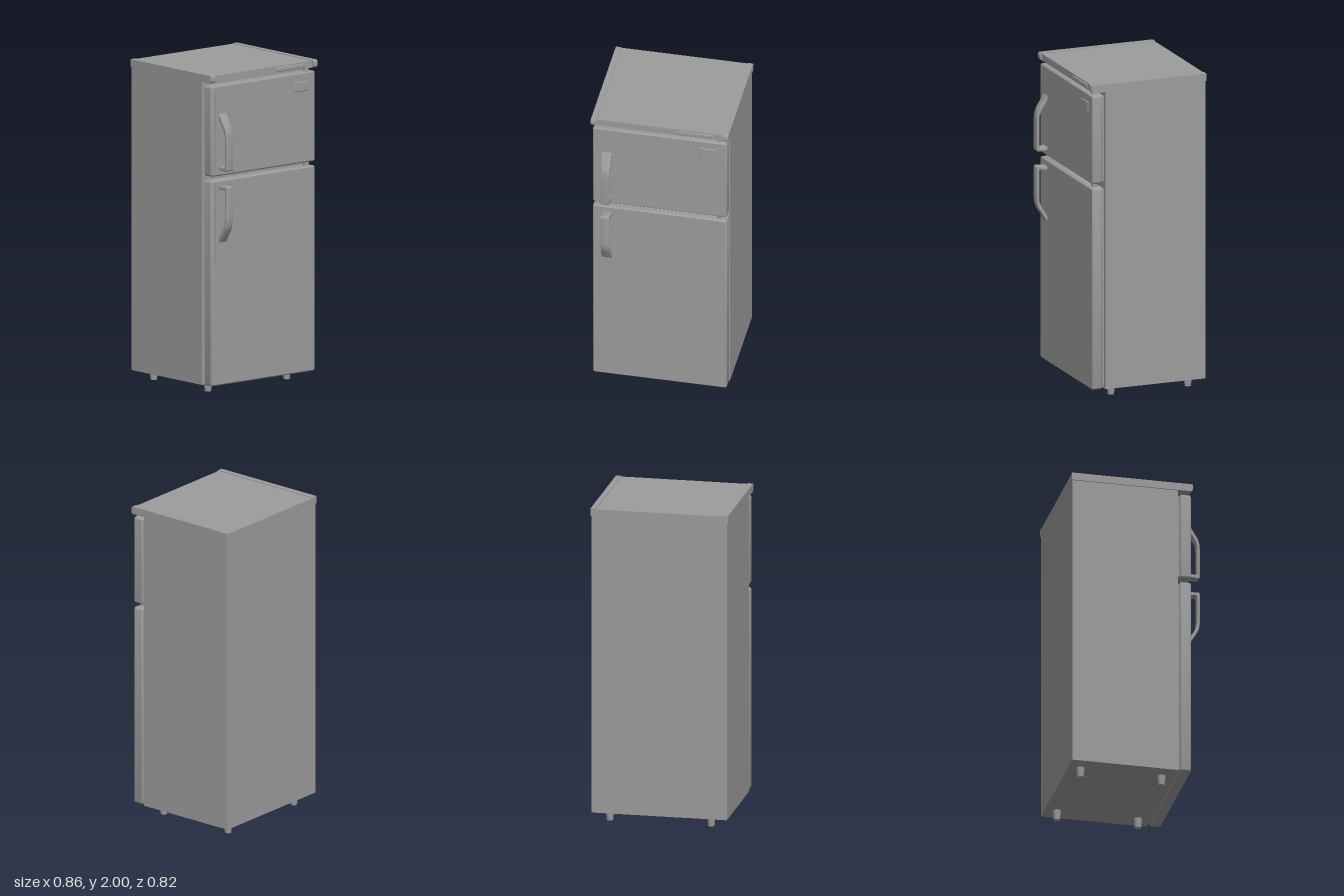
import * as THREE from 'three';
import { toCreasedNormals } from 'three/addons/utils/BufferGeometryUtils.js';

const grey = new THREE.MeshStandardMaterial({ color: 0x9c9c9c });

export function createModel() {
  const model = new THREE.Group();
  model.name = 'refrigerator';

  const add = (name, geometry, x = 0, y = 0, z = 0) => {
    const mesh = new THREE.Mesh(geometry, grey);
    mesh.name = name;
    mesh.position.set(x, y, z);
    model.add(mesh);
  };

  // Box given by its lower and upper limits on each axis
  const box = (name, [x0, x1], [y0, y1], [z0, z1]) =>
    add(name, new THREE.BoxGeometry(x1 - x0, y1 - y0, z1 - z0),
      (x0 + x1) / 2, (y0 + y1) / 2, (z0 + z1) / 2);

  // Side profile drawn in (z, y), extruded to a width centred on x
  const sideProfile = (shape, width, bevel) => {
    const g = new THREE.ExtrudeGeometry(shape, {
      depth: width - 2 * bevel, curveSegments: 8, bevelEnabled: bevel > 0,
      bevelThickness: bevel, bevelSize: bevel, bevelOffset: -bevel, bevelSegments: 2,
    });
    g.translate(0, 0, bevel - width / 2);
    g.rotateY(-Math.PI / 2);
    return g;
  };

  const roundedRect = (w, h, r) => {
    const s = new THREE.Shape();
    s.absarc(w / 2 - r, h / 2 - r, r, 0, Math.PI / 2);
    s.absarc(-w / 2 + r, h / 2 - r, r, Math.PI / 2, Math.PI);
    s.absarc(-w / 2 + r, -h / 2 + r, r, Math.PI, Math.PI * 1.5);
    s.absarc(w / 2 - r, -h / 2 + r, r, Math.PI * 1.5, Math.PI * 2);
    return s;
  };

  // Upright slab with rounded corners and a crisp chamfer
  const slab = (name, [x0, x1], [y0, y1], [z0, z1], radius, bevel) => {
    const g = new THREE.ExtrudeGeometry(roundedRect(x1 - x0, y1 - y0, radius), {
      depth: z1 - z0 - 2 * bevel, curveSegments: 5, bevelThickness: bevel,
      bevelSize: bevel, bevelOffset: -bevel, bevelSegments: 1,
    });
    add(name, toCreasedNormals(g, 0.5), (x0 + x1) / 2, (y0 + y1) / 2, z0 + bevel);
  };

  // Cabinet and top
  box('cabinet', [-0.423, 0.423], [0.062, 1.955], [-0.407, 0.257]);
  box('topPanel', [-0.396, 0.396], [1.953, 1.996], [-0.41, 0.34]);
  slab('controlStrip', [0.105, 0.34], [1.96, 1.987], [0.33, 0.347], 0.005, 0.004);

  // Side trims of the top, with a rounded front end
  const trim = new THREE.Shape();
  trim.moveTo(-0.41, 1.952);
  trim.lineTo(0.332, 1.952);
  trim.quadraticCurveTo(0.35, 1.952, 0.35, 1.97);
  trim.lineTo(0.35, 1.99);
  trim.quadraticCurveTo(0.35, 2, 0.34, 2);
  trim.lineTo(-0.41, 2);
  for (const side of [-1, 1])
    add(side < 0 ? 'rightTopTrim' : 'leftTopTrim',
      toCreasedNormals(sideProfile(trim, 0.035, 0), 0.6), side * 0.4125);

  // Chamfered doors, each with a gasket behind
  const doors = [['freezerDoor', 1.368, 1.932], ['fridgeDoor', 0.062, 1.342]];
  for (const [name, y0, y1] of doors) {
    slab(name, [-0.42, 0.42], [y0, y1], [0.272, 0.342], 0.016, 0.008);
    box(name + 'Gasket', [-0.405, 0.405], [y0 + 0.012, y1 - 0.012], [0.25, 0.278]);
  }

  // Handles and their thin backing plates: the lower ones are flipped about the gap
  const gap = 1.355;
  for (const [name, flip] of [['freezerHandle', 1], ['fridgeHandle', -1]]) {
    const Y = (y) => gap + flip * (y - gap);
    const s = new THREE.Shape();
    s.moveTo(0.335, Y(1.77));
    s.lineTo(0.394, Y(1.675));
    s.quadraticCurveTo(0.411, Y(1.645), 0.411, Y(1.6));
    s.lineTo(0.411, Y(1.415));
    s.quadraticCurveTo(0.411, Y(1.402), 0.398, Y(1.402));
    s.lineTo(0.335, Y(1.407));
    s.lineTo(0.335, Y(1.43));
    s.lineTo(0.386, Y(1.424));
    s.quadraticCurveTo(0.394, Y(1.424), 0.394, Y(1.434));
    s.lineTo(0.394, Y(1.6));
    s.quadraticCurveTo(0.394, Y(1.635), 0.381, Y(1.658));
    s.lineTo(0.335, Y(1.732));
    const g = sideProfile(s, 0.062, 0.003);
    // Narrow the grip towards the front
    const p = g.attributes.position;
    for (let i = 0; i < p.count; i++)
      p.setX(i, p.getX(i) * (1 - 1.8 * (p.getZ(i) - 0.34)));
    add(name, toCreasedNormals(g, 0.6), -0.33);
    box(name + 'Plate', [-0.39, -0.28], [Y(1.4), Y(1.88)].sort((a, b) => a - b), [0.335, 0.3435]);
  }

  // Small plate on the freezer door
  slab('badgePlate', [0.245, 0.357], [1.815, 1.88], [0.33, 0.347], 0.004, 0.004);

  // Hinge pins above and between the doors
  for (const [name, y] of [['topHinge', 1.943], ['middleHinge', gap]])
    add(name, new THREE.CylinderGeometry(0.018, 0.018, 0.032, 20), 0.37, y, 0.31);

  // Tapered feet
  for (const x of [-0.31, 0.325])
    for (const z of [0.18, -0.33])
      add('foot', new THREE.CylinderGeometry(0.027, 0.02, 0.068, 24), x, 0.034, z);

  return model;
}
